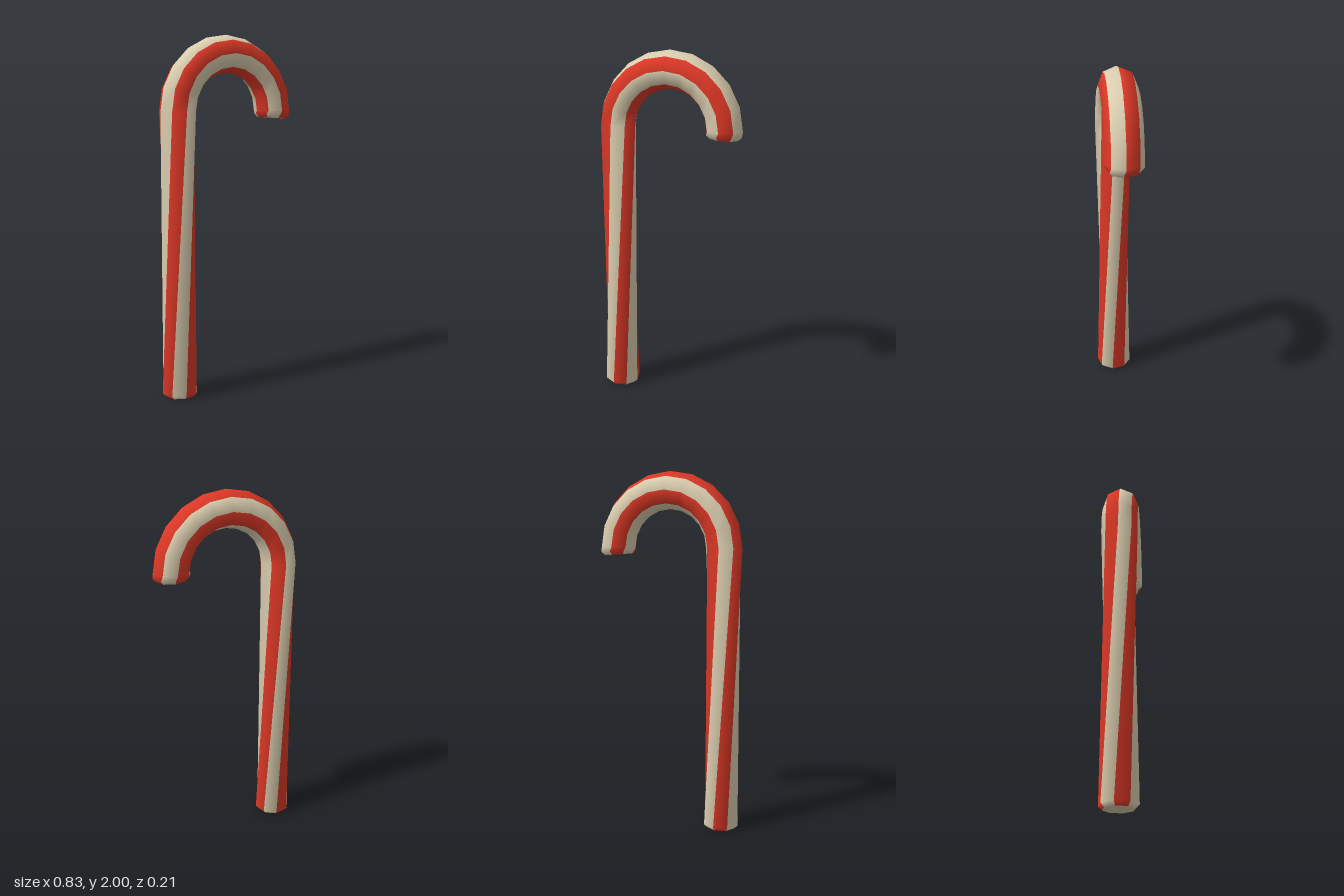
import * as THREE from 'three';

const SIDES = 8, BEND = 0.312, TUBE = 0.103, BEND_Y = 1.585, BEVEL = 0.02;
const rad = THREE.MathUtils.degToRad;

// Octagonal cross-section: phi is the position round the hook, slide moves it along the cane
function ring(phi, slide, radius, twist) {
  const p = rad(phi);
  const out = new THREE.Vector3(-Math.cos(p), Math.sin(p), 0);
  const along = new THREE.Vector3(Math.sin(p), Math.cos(p), 0);
  const centre = out.clone().multiplyScalar(BEND).addScaledVector(along, slide);
  centre.y += BEND_Y;
  return Array.from({ length: SIDES }, (_, j) => {
    const a = rad(twist) + (j / SIDES) * Math.PI * 2;
    return centre.clone()
      .addScaledVector(out, radius * Math.cos(a))
      .add(new THREE.Vector3(0, 0, radius * Math.sin(a)));
  });
}

// Flat end closing a ring
function cap(points, flip) {
  const index = [];
  for (let j = 1; j < SIDES - 1; j++) index.push(0, ...(flip ? [j + 1, j] : [j, j + 1]));
  const geometry = new THREE.BufferGeometry().setFromPoints(points);
  geometry.setIndex(index);
  geometry.computeVertexNormals();
  return geometry;
}

export function createModel() {
  const cream = new THREE.MeshStandardMaterial({ color: 0xdccfb0 });
  cream.name = 'cream';
  const red = new THREE.MeshStandardMaterial({ color: 0xdd3826 });
  red.name = 'red';

  // Bevelled foot, twisted shaft, hook in 18 degree steps, bevelled tip
  const rings = [
    ring(0, -BEND_Y, TUBE - BEVEL, -54),
    ring(0, -BEND_Y + BEVEL, TUBE, -54),
  ];
  for (let phi = 0; phi <= 180; phi += 18) rings.push(ring(phi, 0, TUBE, 0));
  rings.push(ring(184, 0, TUBE, 6), ring(184, BEVEL, TUBE - BEVEL, 6));

  // Alternate sides are cream and red, one geometry group per colour
  const index = [];
  const geometry = new THREE.BufferGeometry().setFromPoints(rings.flat());
  for (let colour = 0; colour < 2; colour++) {
    const start = index.length;
    for (let i = 0; i < rings.length - 1; i++) {
      for (let j = colour; j < SIDES; j += 2) {
        const a = i * SIDES + j, b = i * SIDES + (j + 1) % SIDES;
        index.push(a, b, b + SIDES, a, b + SIDES, a + SIDES);
      }
    }
    geometry.addGroup(start, index.length - start, colour);
  }
  geometry.setIndex(index);
  geometry.computeVertexNormals();

  const model = new THREE.Group();
  model.name = 'candyCane';
  const add = (name, geo, material) => {
    const mesh = new THREE.Mesh(geo, material);
    mesh.name = name;
    model.add(mesh);
  };
  add('stripedCane', geometry, [cream, red]);
  add('footCap', cap(rings[0], true), cream);
  add('tipCap', cap(rings[rings.length - 1], false), cream);
  return model;
}
